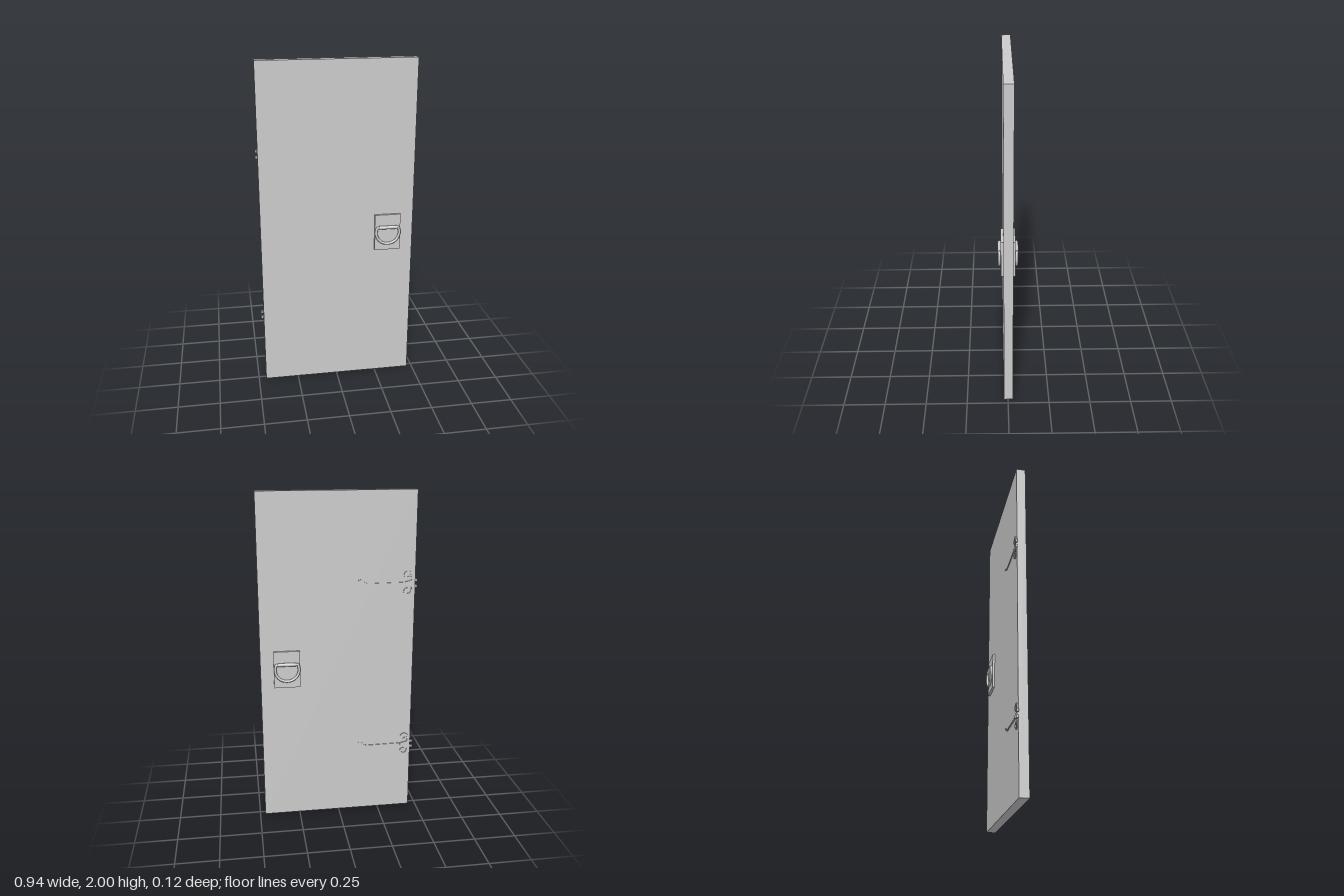
import * as THREE from 'three';

const material = new THREE.MeshStandardMaterial({ color: 0xcccccc, side: THREE.DoubleSide });

function part(name, geometry, x = 0, y = 0, z = 0) {
  const mesh = new THREE.Mesh(geometry, material);
  mesh.name = name;
  mesh.position.set(x, y, z);
  return mesh;
}

const curveThrough = (points) =>
  new THREE.CatmullRomCurve3(points.map(([x, y]) => new THREE.Vector3(x, y, 0)));

// Flat iron strip of tapering width that follows a curve in the XY plane
function ribbon(points, startWidth, endWidth, depth) {
  const curve = curveThrough(points);
  const left = [], right = [], steps = 32;
  for (let i = 0; i <= steps; i++) {
    const t = i / steps;
    const p = curve.getPointAt(t), d = curve.getTangentAt(t);
    const w = THREE.MathUtils.lerp(startWidth, endWidth, t) / 2;
    left.push(new THREE.Vector2(p.x - d.y * w, p.y + d.x * w));
    right.unshift(new THREE.Vector2(p.x + d.y * w, p.y - d.x * w));
  }
  return new THREE.ExtrudeGeometry(new THREE.Shape([...left, ...right]), { depth, bevelEnabled: false });
}

// Back plate, crossbar and D-shaped pull ring, facing +z
function createHandle(name) {
  const handle = new THREE.Group();
  handle.name = name;
  handle.add(part('handlePlate', new THREE.BoxGeometry(0.156, 0.225, 0.016), 0, 0.963, 0.005));

  const bar = part('handleBar', new THREE.CylinderGeometry(0.0105, 0.0105, 0.108, 20), 0, 0.997, 0.021);
  bar.rotation.z = Math.PI / 2;
  handle.add(bar);

  const path = [[-0.054, 0.998], [-0.064, 0.996]];
  for (let i = 0; i <= 12; i++) {
    const a = Math.PI * (1 + i / 12) + 0.0;
    path.push([0.071 * Math.cos(a), 0.964 + 0.071 * Math.sin(a)]);
  }
  path.push([0.064, 0.996], [0.054, 0.998]);
  handle.add(part('pullRing', new THREE.TubeGeometry(curveThrough(path), 64, 0.008, 12), 0, 0, 0.021));
  return handle;
}

// Strap hinge with scrolls and knuckles; origin at the door edge
function createHinge(name, x, y) {
  const hinge = new THREE.Group();
  hinge.name = name;
  hinge.position.set(x, y, -0.03);

  const leaf = new THREE.Shape([
    [-0.008, -0.026], [0.012, -0.026], [0.024, -0.016], [0.04, -0.012], [0.066, -0.006],
    [0.066, 0.006], [0.04, 0.012], [0.024, 0.016], [0.012, 0.026], [-0.008, 0.026],
    [-0.008, 0.009], [0.002, 0.009], [0.002, -0.009], [-0.008, -0.009],
  ].map(([px, py]) => new THREE.Vector2(px, py)));
  hinge.add(part('hingeLeaf', new THREE.ExtrudeGeometry(leaf, { depth: 0.007, bevelEnabled: false }), 0, 0, -0.006));

  // Long strap, thinning toward its tip
  hinge.add(part('hingeStrap', ribbon([[0.05, 0], [0.15, 0], [0.285, 0]], 0.012, 0.007, 0.005), 0, 0, -0.0035));

  for (const side of [1, -1]) {
    // Spiral scroll rising from the leaf and curling inward
    const spiral = [[0.016, side * 0.016], [0.014, side * 0.032]];
    for (let i = 0; i <= 14; i++) {
      const a = Math.PI - i * 0.42, r = 0.026 - i * 0.0012;
      spiral.push([0.044 + r * Math.cos(a), side * (0.045 + r * Math.sin(a))]);
    }
    hinge.add(part('hingeScroll', ribbon(spiral, 0.013, 0.008, 0.006), 0, 0, -0.005));

    hinge.add(part('hingeKnuckle', new THREE.CylinderGeometry(0.007, 0.007, 0.017, 16), -0.007, side * 0.0175, -0.004));
  }

  // Curled tip of the strap
  const tip = [[0.275, 0], [0.292, 0.004], [0.306, 0.014], [0.318, 0.024], [0.334, 0.024]];
  hinge.add(part('hingeTip', ribbon(tip, 0.007, 0.005, 0.004), 0, 0, -0.002));
  return hinge;
}

export function createModel() {
  const door = new THREE.Group();
  door.name = 'door';
  door.add(part('doorPanel', new THREE.BoxGeometry(0.923, 2, 0.054), 0.0065, 1, -0.002));

  const front = createHandle('frontHandle');
  front.position.set(0.311, 0, 0.027);
  const back = createHandle('backHandle');
  back.position.set(0.311, 0, -0.029);
  back.rotation.y = Math.PI;
  door.add(front, back);

  door.add(createHinge('upperHinge', -0.452, 1.463), createHinge('lowerHinge', -0.456, 0.432));
  return door;
}
